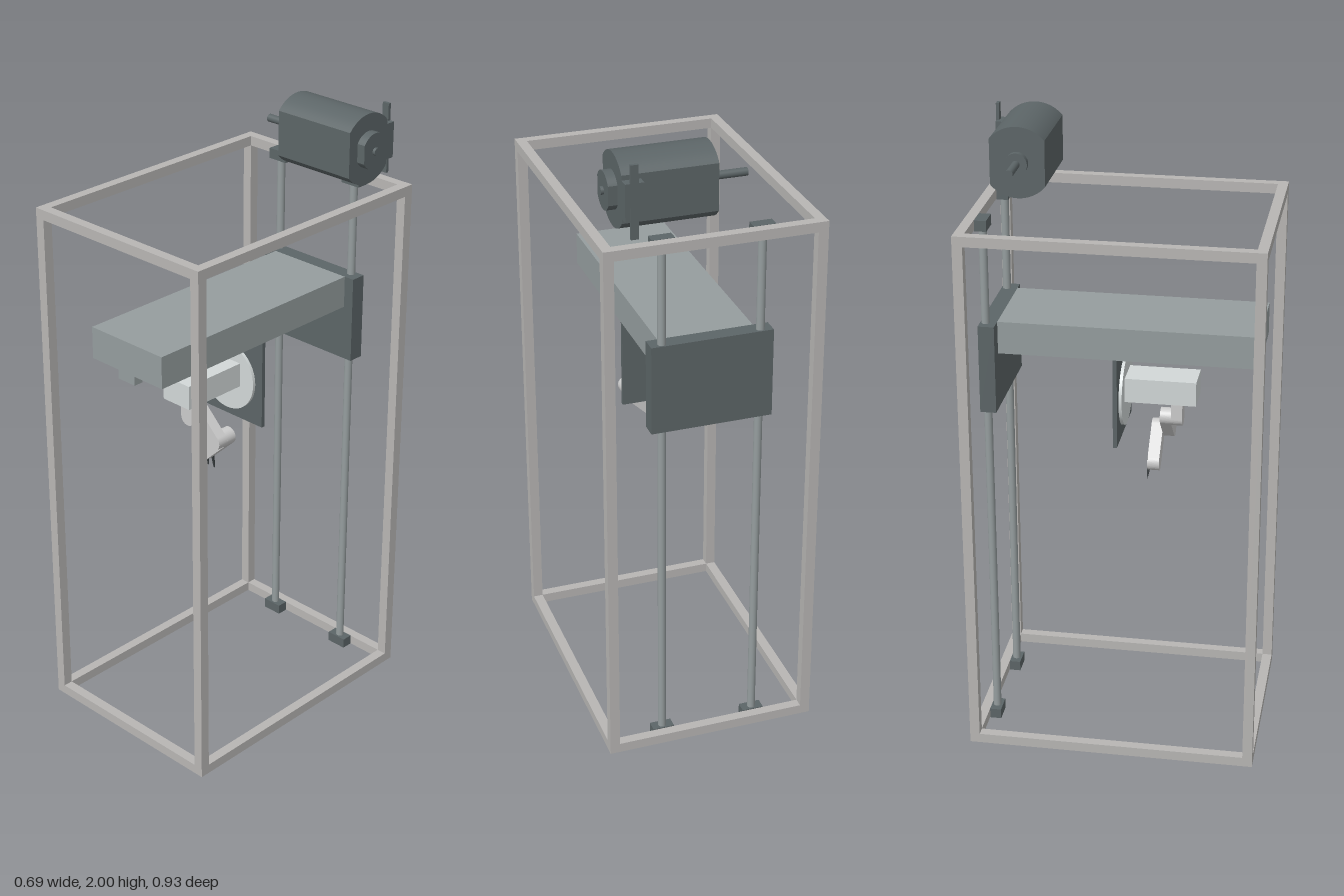
import * as THREE from 'three';

const mat = (color) => new THREE.MeshStandardMaterial({ color });
const FRAME = mat(0xb8b6b4), DARK = mat(0x5c6567), STEEL = mat(0x959d9e);
const LIGHT = mat(0xd2d8d8), ARM = mat(0xbdbdbd), BLACK = mat(0x3c4143);

export function createModel() {
  const model = new THREE.Group();

  const group = (name) => {
    const g = new THREE.Group();
    g.name = name;
    model.add(g);
    return g;
  };
  const add = (parent, name, geometry, material) => {
    const mesh = new THREE.Mesh(geometry, material);
    mesh.name = name;
    parent.add(mesh);
    return mesh;
  };
  // Box given by its [min, max] range on each axis
  const box = (parent, name, material, [x0, x1], [y0, y1], [z0, z1]) => {
    const m = add(parent, name, new THREE.BoxGeometry(x1 - x0, y1 - y0, z1 - z0), material);
    m.position.set((x0 + x1) / 2, (y0 + y1) / 2, (z0 + z1) / 2);
    return m;
  };
  // Cylinder between two points along one axis
  const rod = (parent, name, material, a, b, r, sides = 32) => {
    const from = new THREE.Vector3(...a), to = new THREE.Vector3(...b);
    const m = add(parent, name, new THREE.CylinderGeometry(r, r, from.distanceTo(to), sides), material);
    m.position.copy(from).add(to).multiplyScalar(0.5);
    m.quaternion.setFromUnitVectors(new THREE.Vector3(0, 1, 0), to.sub(from).normalize());
    return m;
  };

  // Outer frame of square bars
  const frame = group('frame');
  const W = 0.343, D = 0.466, H = 1.756, T = 0.032;
  for (const sx of [-1, 1]) {
    const xs = sx < 0 ? [-W, -W + T] : [W - T, W];
    for (const sz of [-1, 1]) {
      const zs = sz < 0 ? [-D, -D + T] : [D - T, D];
      box(frame, 'framePost', FRAME, xs, [0, H], zs);
    }
    for (const ys of [[0, T], [H - T, H]]) box(frame, 'frameSideBar', FRAME, xs, ys, [-D + T, D - T]);
  }
  for (const zs of [[-D, -D + T], [D - T, D]]) {
    for (const ys of [[0, T], [H - T, H]]) box(frame, 'frameCrossBar', FRAME, [-W + T, W - T], ys, zs);
  }

  // Two vertical guide rods with end blocks
  const lift = group('lift');
  for (const x of [-0.157, 0.152]) {
    rod(lift, 'guideRod', STEEL, [x, 0.01, -0.415], [x, 1.75, -0.415], 0.013, 24);
    for (const y of [0, H - 0.034]) {
      box(lift, 'rodBlock', DARK, [x - 0.035, x + 0.035], [y, y + 0.034], [-0.433, -0.396]);
    }
  }
  box(lift, 'carriage', DARK, [-0.194, 0.19], [1.128, 1.415], [-0.432, -0.381]);

  // Horizontal beam with its lead rod, hanging blocks and sliding plate
  const beam = group('beam');
  box(beam, 'beamBody', STEEL, [-0.146, 0.155], [1.31, 1.415], [-0.381, 0.433]);
  rod(beam, 'leadRod', STEEL, [0.003, 1.295, -0.375], [0.003, 1.295, 0.43], 0.01, 24);
  for (const [z0, z1] of [[0.4, 0.433], [-0.378, -0.345], [-0.02, 0.024]]) {
    box(beam, 'rodSupport', STEEL, [-0.033, 0.037], [1.28, 1.312], [z0, z1]);
  }
  box(beam, 'slidePlate', DARK, [-0.141, 0.147], [1.01, 1.312], [-0.021, -0.008]);

  // Jointed arm: turntable disc, base box and three round-ended links
  const arm = group('arm');
  rod(arm, 'turntable', LIGHT, [0.004, 1.151, -0.008], [0.004, 1.151, 0.002], 0.114, 64);
  box(arm, 'armBase', LIGHT, [-0.051, 0.061], [1.13, 1.21], [0, 0.229]);
  const link = (name, [ax, ay], [bx, by], z0, z1) => {
    const len = Math.hypot(bx - ax, by - ay), r = 0.028;
    const s = new THREE.Shape();
    s.absarc(0, 0, r, Math.PI / 2, Math.PI * 1.5, false);
    s.absarc(len, 0, r, -Math.PI / 2, Math.PI / 2, false);
    const m = add(arm, name, new THREE.ExtrudeGeometry(s,
      { depth: z1 - z0, bevelEnabled: false, curveSegments: 16 }), ARM);
    m.position.set(ax, ay, z0);
    m.rotation.z = Math.atan2(by - ay, bx - ax);
  };
  const shoulder = [0.006, 1.066], elbow = [0.082, 0.992], wrist = [-0.006, 0.908];
  link('upperLink', [0.006, 1.16], shoulder, 0.146, 0.182);
  link('middleLink', shoulder, elbow, 0.11, 0.146);
  link('lowerLink', elbow, wrist, 0.072, 0.11);

  // Two thin tapered gripper fingers
  const finger = new THREE.Shape([[0.069, 0.93], [0.09, 0.93], [0.077, 0.88], [0.069, 0.845]]
    .map(([z, y]) => new THREE.Vector2(-z, y)));
  for (const x of [-0.018, 0.008]) {
    const m = add(arm, 'gripperFinger', new THREE.ExtrudeGeometry(finger,
      { depth: 0.006, bevelEnabled: false }), BLACK);
    m.rotation.y = Math.PI / 2;
    m.position.x = x;
  }

  // Motor: round body with flat front and back, lying along x
  const motor = group('motor');
  const MY = 1.887, MZ = -0.335;
  const flatRound = (name, r, half, x0, x1) => {
    const a = Math.acos(half / r);
    const s = new THREE.Shape();
    s.absarc(0, 0, r, a, Math.PI - a, false);
    s.absarc(0, 0, r, Math.PI + a, 2 * Math.PI - a, false);
    const m = add(motor, name, new THREE.ExtrudeGeometry(s,
      { depth: x1 - x0, bevelEnabled: false, curveSegments: 24 }), DARK);
    m.rotation.y = Math.PI / 2;
    m.position.set(x0, MY, MZ);
  };
  const along = (name, x0, x1, r) => rod(motor, name, DARK, [x0, MY, MZ], [x1, MY, MZ], r);
  flatRound('motorBody', 0.1125, 0.086, -0.018, 0.272);
  flatRound('motorEndCap', 0.058, 0.05, 0.272, 0.3);
  along('frontBoss', -0.037, -0.018, 0.035);
  along('shaft', -0.136, -0.037, 0.0125);
  along('shaftTail', 0.3, 0.309, 0.0125);
  box(motor, 'terminalBlock', DARK, [0.215, 0.272], [1.83, 1.945], [-0.453, -0.42]);
  box(motor, 'terminalStrip', DARK, [0.232, 0.256], [1.776, 2.0], [-0.454, -0.444]);

  return model;
}
